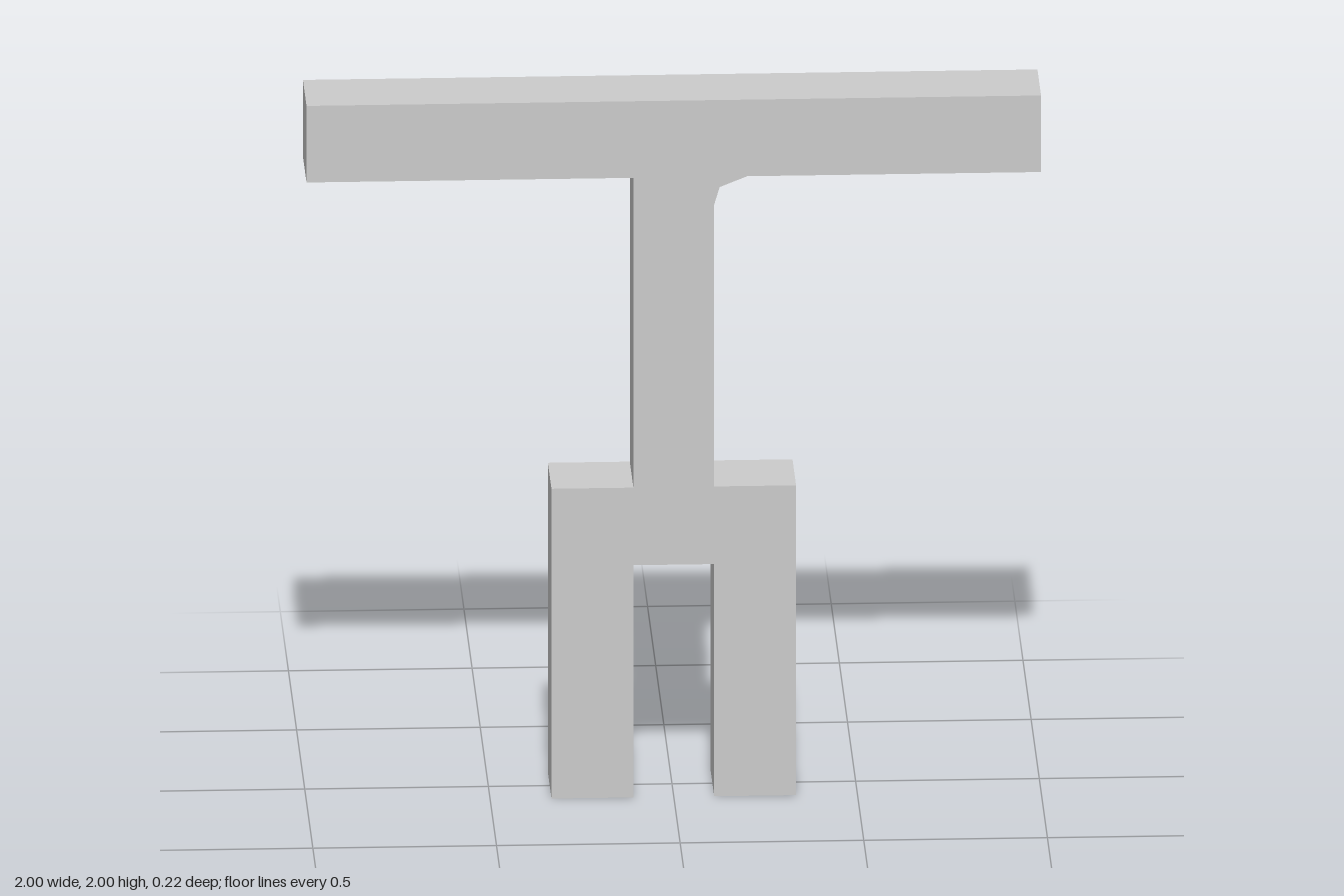
import * as THREE from 'three';

const HALF = 0.11;        // half thickness of every beam
const LEG_OUT = 0.333;    // outer side of the legs
const LEG_TOP = 0.89;     // shoulder of the fork
const GAP_TOP = 0.667;    // top of the gap between the legs
const BAR_BOTTOM = 1.78;
const BAR_TOP = 2;

export function createModel() {
  const group = new THREE.Group();
  group.name = 'forkedTeeFrame';

  // Left half of the outline, from the gap between the legs up to the crossbar
  const half = [
    [HALF, GAP_TOP], [HALF, 0], [LEG_OUT, 0], [LEG_OUT, LEG_TOP],
    [HALF, LEG_TOP], [HALF, BAR_BOTTOM], [1, BAR_BOTTOM], [1, BAR_TOP],
  ];
  const mirrored = half.map(([x, y]) => [-x, y]).reverse();

  // Small web softening the left corner under the crossbar
  const left = half.slice();
  left.splice(5, 1, [HALF, 1.7], [0.125, 1.75], [0.2, BAR_BOTTOM]);

  // Legs, post and crossbar are one continuous solid
  const outline = new THREE.Shape([...left, ...mirrored].map(([x, y]) => new THREE.Vector2(x, y)));
  const geometry = new THREE.ExtrudeGeometry(outline, { depth: 2 * HALF, bevelEnabled: false });
  geometry.translate(0, 0, -HALF);

  const frame = new THREE.Mesh(geometry, new THREE.MeshStandardMaterial({ color: 0xcccccc }));
  frame.name = 'frame';
  group.add(frame);
  return group;
}
